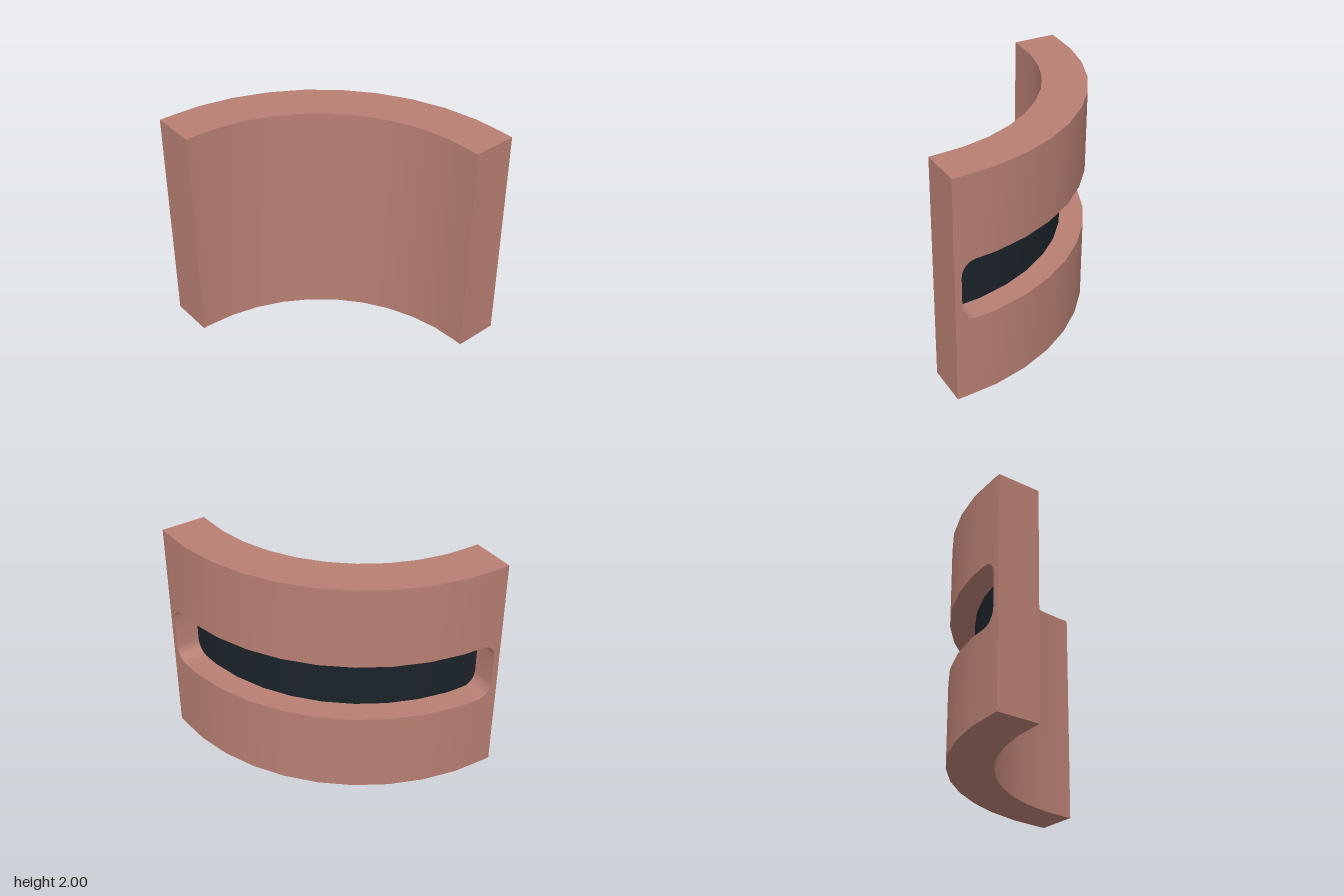
import * as THREE from 'three';
import { toCreasedNormals } from 'three/addons/utils/BufferGeometryUtils.js';

const CENTRE = 0.94, OUTER = 1.94, INNER = 1.555, RECESS = 1.73;
const HEIGHT = 2, STEP = 9;
const SLOT_HALF = 0.27, CORNER = 0.13;

// Plan position on the faceted quarter ring; angles outside 0..90 are the straight tails
function point(r, t, y) {
  if (t < 0) return [1, y, CENTRE - r];
  if (t > 90) return [CENTRE - r, y, 1];
  const t0 = Math.min(Math.floor(t / STEP), 90 / STEP - 1) * STEP;
  const f = (t - t0) / STEP;
  const a = THREE.MathUtils.degToRad(t0), b = THREE.MathUtils.degToRad(t0 + STEP);
  return [
    CENTRE - r * THREE.MathUtils.lerp(Math.sin(a), Math.sin(b), f),
    y,
    CENTRE - r * THREE.MathUtils.lerp(Math.cos(a), Math.cos(b), f),
  ];
}

// Half height of the rounded slot at an angle
function slotHalf(t) {
  const d = THREE.MathUtils.degToRad(Math.min(t, 90 - t)) * OUTER;
  if (d >= CORNER) return SLOT_HALF;
  return SLOT_HALF - CORNER + Math.sqrt(CORNER ** 2 - (CORNER - d) ** 2);
}

// Column angles: ring facets plus fine steps around the slot corners
function columns() {
  const ts = [-1, 91];
  for (let t = 0; t <= 90; t += STEP) ts.push(t);
  const sweep = THREE.MathUtils.radToDeg(CORNER / OUTER);
  for (let i = 1; i <= 6; i++) {
    const t = sweep * (1 - Math.cos((i / 6) * Math.PI / 2));
    ts.push(t, 90 - t);
  }
  return ts.sort((a, b) => a - b);
}

function quad(out, a, b, c, d) {
  for (const p of [a, b, c, a, c, d]) out.push(...point(...p));
}

// Upright strip at radius r, facing outward
function upright(out, r, t0, t1, lo0, lo1, hi0, hi1) {
  quad(out, [r, t0, lo0], [r, t1, lo1], [r, t1, hi1], [r, t0, hi0]);
}

// Ledge between two radii, facing up, or down when flipped
function ledge(out, rOut, rIn, t0, t1, y0, y1, down) {
  const c = [[rOut, t0, y0], [rOut, t1, y1], [rIn, t1, y1], [rIn, t0, y0]];
  if (down) c.reverse();
  quad(out, ...c);
}

// Radial wall; the first radius is on the viewer's left
function radial(out, rLeft, rRight, t, lo, hi) {
  quad(out, [rLeft, t, lo], [rRight, t, lo], [rRight, t, hi], [rLeft, t, hi]);
}

function makeMesh(name, positions, color) {
  const geo = new THREE.BufferGeometry();
  geo.setAttribute('position', new THREE.Float32BufferAttribute(positions, 3));
  const mesh = new THREE.Mesh(
    toCreasedNormals(geo, Math.PI / 6),
    new THREE.MeshStandardMaterial({ color }),
  );
  mesh.name = name;
  return mesh;
}

export function createModel() {
  const wall = [], slot = [], pane = [];
  const ts = columns();
  const mid = HEIGHT / 2;

  for (let i = 0; i < ts.length - 1; i++) {
    const t0 = ts[i], t1 = ts[i + 1];
    // Inner face, top and bottom
    upright(wall, INNER, t1, t0, 0, 0, HEIGHT, HEIGHT);
    ledge(wall, OUTER, INNER, t0, t1, HEIGHT, HEIGHT, false);
    ledge(wall, OUTER, INNER, t0, t1, 0, 0, true);

    if (t0 < 0 || t1 > 90) {
      upright(wall, OUTER, t0, t1, 0, 0, HEIGHT, HEIGHT);
      continue;
    }
    // Outer face below and above the slot, slot floor and ceiling, recessed pane
    const h0 = slotHalf(t0), h1 = slotHalf(t1);
    upright(wall, OUTER, t0, t1, 0, 0, mid - h0, mid - h1);
    upright(wall, OUTER, t0, t1, mid + h0, mid + h1, HEIGHT, HEIGHT);
    ledge(slot, OUTER, RECESS, t0, t1, mid - h0, mid - h1, false);
    ledge(slot, OUTER, RECESS, t0, t1, mid + h0, mid + h1, true);
    upright(pane, RECESS, t0, t1, mid - h0, mid - h1, mid + h0, mid + h1);
  }

  // End faces of the wall and of the slot
  radial(wall, INNER, OUTER, -1, 0, HEIGHT);
  radial(wall, OUTER, INNER, 91, 0, HEIGHT);
  const end = slotHalf(0);
  radial(slot, OUTER, RECESS, 0, mid - end, mid + end);
  radial(slot, RECESS, OUTER, 90, mid - end, mid + end);

  const group = new THREE.Group();
  group.name = 'curvedWindowWall';
  group.add(
    makeMesh('curvedWall', wall, 0xb87f73),
    makeMesh('windowReveal', slot, 0xb87f73),
    makeMesh('windowPane', pane, 0x1b2329),
  );
  return group;
}
